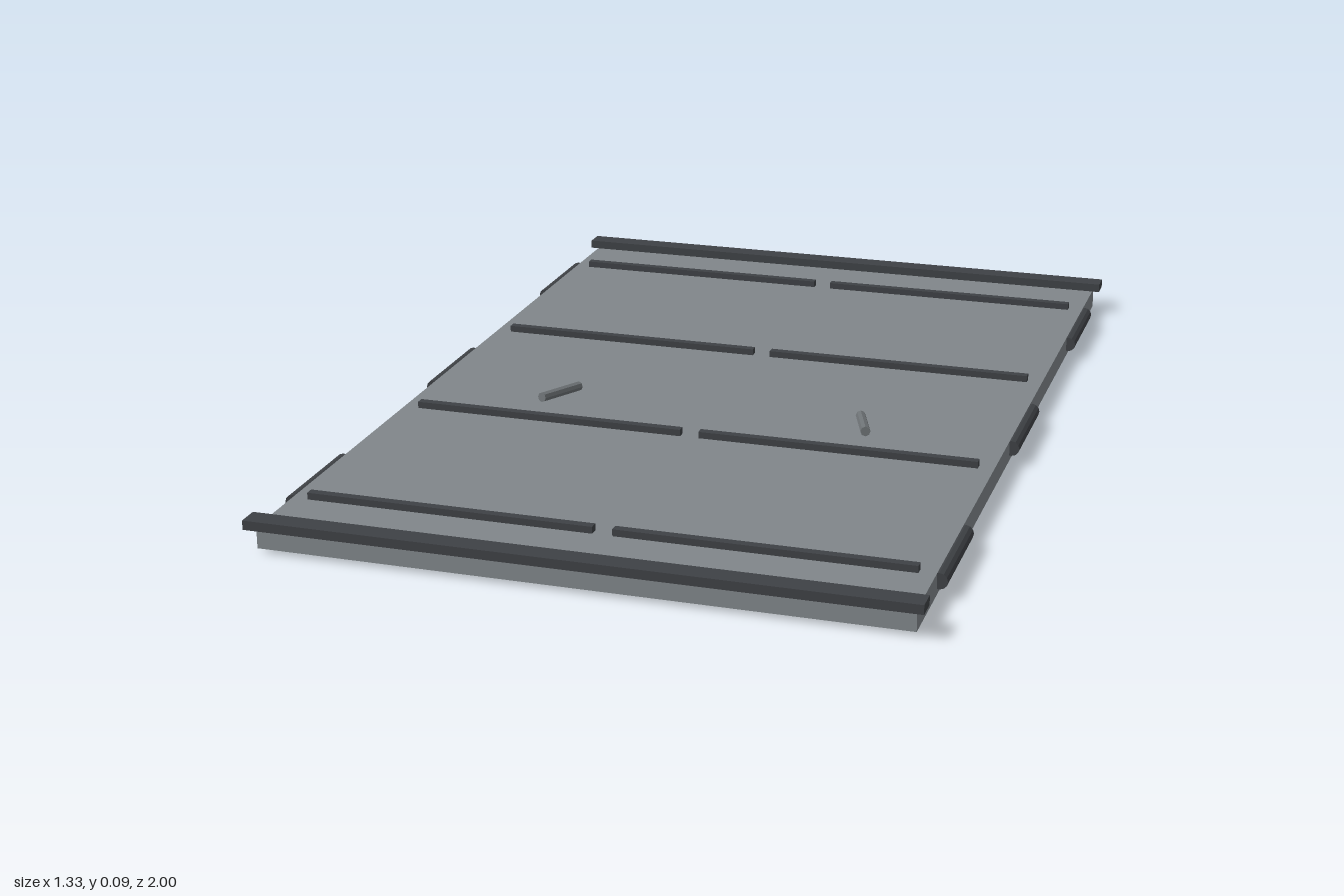
import * as THREE from 'three';

const paint = (name, color) => {
  const m = new THREE.MeshStandardMaterial({ color });
  m.name = name;
  return m;
};

export function createModel() {
  const model = new THREE.Group();
  model.name = 'rampPanel';
  const grey = paint('panelGrey', 0x80868a);
  const dark = paint('darkSteel', 0x3e4145);
  const steel = paint('handleGrey', 0x6e7376);
  const amber = paint('amber', 0xc8960f);
  dark.flatShading = true;
  steel.flatShading = true;

  const add = (name, geometry, material, x, y, z) => {
    const mesh = new THREE.Mesh(geometry, material);
    mesh.name = name;
    mesh.position.set(x, y, z);
    model.add(mesh);
    return mesh;
  };

  // Main slab
  add('slab', new THREE.BoxGeometry(1.286, 0.044, 1.956), grey, 0, 0.031, 0);

  // Lips across both ends
  const lip = new THREE.BoxGeometry(1.32, 0.019, 0.045);
  for (const s of [-1, 1]) add('endLip', lip, dark, 0, 0.0635, s * 0.9775);

  // Cleats, barrel hinges, handles and underside strips on each side
  const cleat = new THREE.BoxGeometry(0.59, 0.015, 0.018);
  const barrel = new THREE.CylinderGeometry(0.0165, 0.0165, 0.235, 12).rotateX(Math.PI / 2);
  const handle = new THREE.CylinderGeometry(0.0105, 0.0105, 0.128, 8).rotateX(Math.PI / 2);
  const strip = new THREE.BoxGeometry(0.325, 0.009, 0.036);
  for (const s of [-1, 1]) {
    for (const z of [-0.805, -0.265, 0.275, 0.815]) add('cleat', cleat, dark, s * 0.315, 0.0595, z);
    for (const z of [-0.703, -0.003, 0.697]) add('hingeBarrel', barrel, dark, s * 0.647, 0.0375, z);
    const h = add('handle', handle, steel, s * 0.337, 0.07, 0.143);
    h.rotation.set(-0.09, s * 0.32, 0, 'YXZ');
    add('undersideStrip', strip, amber, s * 0.318, 0.0045, -0.893);
  }
  return model;
}
